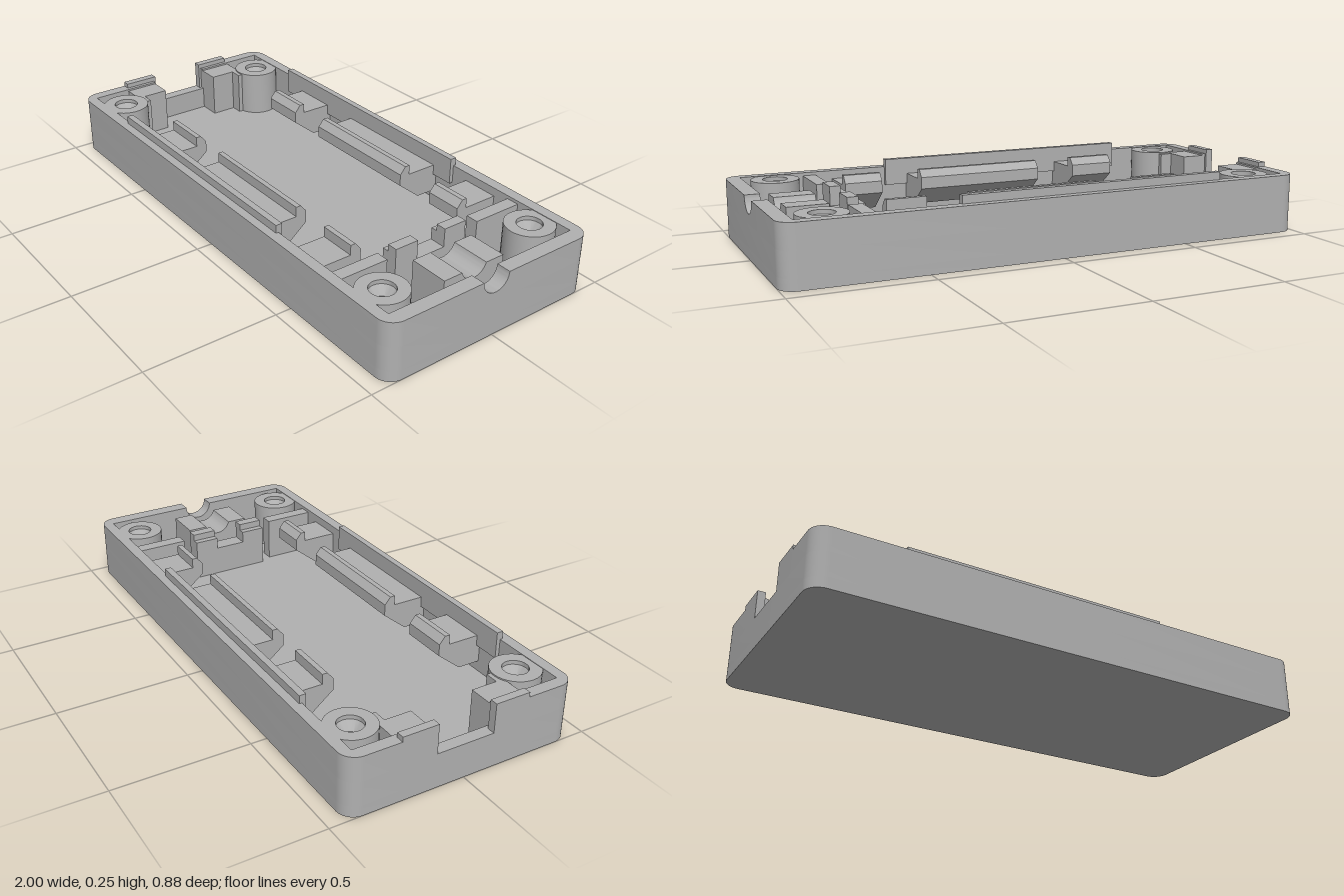
import * as THREE from 'three';
import { toCreasedNormals } from 'three/addons/utils/BufferGeometryUtils.js';

const H = 0.222, FLOOR = 0.04, SILL = 0.13, W = 0.44, R = 0.06, IN = 0.398;
const X0 = -0.955, X1 = 0.945, GROOVE = 0.056;

export function createModel() {
  const group = new THREE.Group();
  const grey = new THREE.MeshStandardMaterial({ color: 0xb0b0b0 });
  grey.name = 'grey plastic';

  const add = (name, geo) => {
    const mesh = new THREE.Mesh(geo, grey);
    mesh.name = name;
    group.add(mesh);
    return mesh;
  };
  // box given by its limits on each axis
  const box = (name, xa, xb, ya, yb, za, zb) => {
    const g = new THREE.BoxGeometry(xb - xa, yb - ya, Math.abs(zb - za));
    g.translate((xa + xb) / 2, (ya + yb) / 2, (za + zb) / 2);
    return add(name, g);
  };
  const extrude = (shape, depth) => toCreasedNormals(
    new THREE.ExtrudeGeometry(shape, { depth, bevelEnabled: false, curveSegments: 12 }), 0.5);
  // floor plan raised from ya to yb
  const plan = (name, shape, ya, yb) =>
    add(name, extrude(shape, yb - ya).rotateX(-Math.PI / 2).translate(0, ya, 0));
  // cross-section (z, y) swept along x
  const sweep = (name, shape, xa, xb) =>
    add(name, extrude(shape, xb - xa).rotateY(Math.PI / 2).translate(xa, 0, 0));
  const polygon = pts => new THREE.Shape(pts.map(p => new THREE.Vector2(...p)));

  const k = R * 0.4477;
  // the two rounded corners on one long side, from the -x end to the +x end
  const roundedSide = (shape, s) => {
    shape.lineTo(-1, s * (W - R));
    shape.bezierCurveTo(-1, s * (W - k), -1 + k, s * W, -1 + R, s * W);
    shape.lineTo(1 - R, s * W);
    shape.bezierCurveTo(1 - k, s * W, 1, s * (W - k), 1, s * (W - R));
  };
  const outline = () => {
    const c = new THREE.Shape();
    c.moveTo(-1, 0);
    roundedSide(c, 1);
    c.lineTo(1, -W + R);
    c.bezierCurveTo(1, -W + k, 1 - k, -W, 1 - R, -W);
    c.lineTo(-1 + R, -W);
    c.bezierCurveTo(-1 + k, -W, -1, -W + k, -1, -W + R);
    c.lineTo(-1, 0);
    return c;
  };

  // tray floor and the continuous lower wall
  plan('floor', outline(), 0, FLOOR);
  const ring = outline();
  ring.holes.push(new THREE.Path([[X0, -IN], [X1, -IN], [X1, IN], [X0, IN]]
    .map(p => new THREE.Vector2(...p))));
  plan('lowerWall', ring, FLOOR, SILL);

  // half-round channel for the cable
  const channel = (halfWidth, bottom, top) => {
    const a = Math.asin((H - top) / GROOVE), s = new THREE.Shape();
    s.moveTo(-halfWidth, bottom);
    s.lineTo(halfWidth, bottom);
    s.lineTo(halfWidth, top);
    s.lineTo(GROOVE * Math.cos(a), top);
    s.absarc(0, H, GROOVE, -a, -Math.PI + a, true);
    s.lineTo(-halfWidth, top);
    return s;
  };
  sweep('cableNotch', channel(0.06, SILL, H), X1, 1);
  sweep('cableRest', channel(0.13, FLOOR, 0.205), 0.75, 0.9);

  // screw boss with a countersunk hole
  const bossProfile = [[0.09, FLOOR], [0.09, 0.22], [0.046, 0.22], [0.046, 0.205],
    [0.022, 0.175], [0.022, 0.08], [0, 0.08]].map(p => new THREE.Vector2(...p));
  const bossGeo = toCreasedNormals(new THREE.LatheGeometry(bossProfile, 32), 0.5);

  for (const s of [1, -1]) {
    // upper wall, leaving the end opening and cable notch free
    const wall = new THREE.Shape();
    wall.moveTo(-1, s * 0.12);
    roundedSide(wall, s);
    for (const [x, z] of [[1, 0.06], [X1, 0.06], [X1, IN], [X0, IN], [X0, 0.12]]) wall.lineTo(x, s * z);
    plan('upperWall', wall, SILL, H);

    box('sealingRib', -0.665, 0.375, 0.15, 0.252, s * 0.383, s * 0.408);
    box('endTab', -1, -0.97, SILL, 0.24, s * 0.11, s * 0.245);

    // stepped posts beside the end opening
    box('endPost', -0.97, -0.865, FLOOR, 0.215, s * 0.12, s * 0.22);
    box('endPostStep', -0.97, -0.815, FLOOR, 0.215, s * 0.22, s * 0.25);

    // board clips with a ridge and a sloping underside
    const clip = polygon([[0.4, 0.08], [0.31, 0.08], [0.217, 0.155], [0.217, 0.2], [0.24, 0.228],
      [0.26, 0.228], [0.26, 0.19], [0.4, 0.19]].map(([z, y]) => [-s * z, y]));
    for (const [a, b] of [[-0.56, -0.38], [-0.22, 0.285], [0.445, 0.59]]) sweep('boardClip', clip, a, b);

    // cross ribs and cable stop
    box('crossRib', 0.655, 0.705, FLOOR, 0.21, s * 0.2, s * IN);
    box('cableStop', 0.655, 0.695, FLOOR, 0.226, s * 0.06, s * 0.155);
    box('cableStopStep', 0.63, 0.655, FLOOR, 0.2, s * 0.06, s * 0.155);

    for (const x of [-0.835, 0.83]) add('screwBoss', bossGeo).position.set(x, 0, s * 0.325);
  }
  box('cableStopBridge', 0.63, 0.695, FLOOR, 0.155, -0.06, 0.06);

  return group;
}
